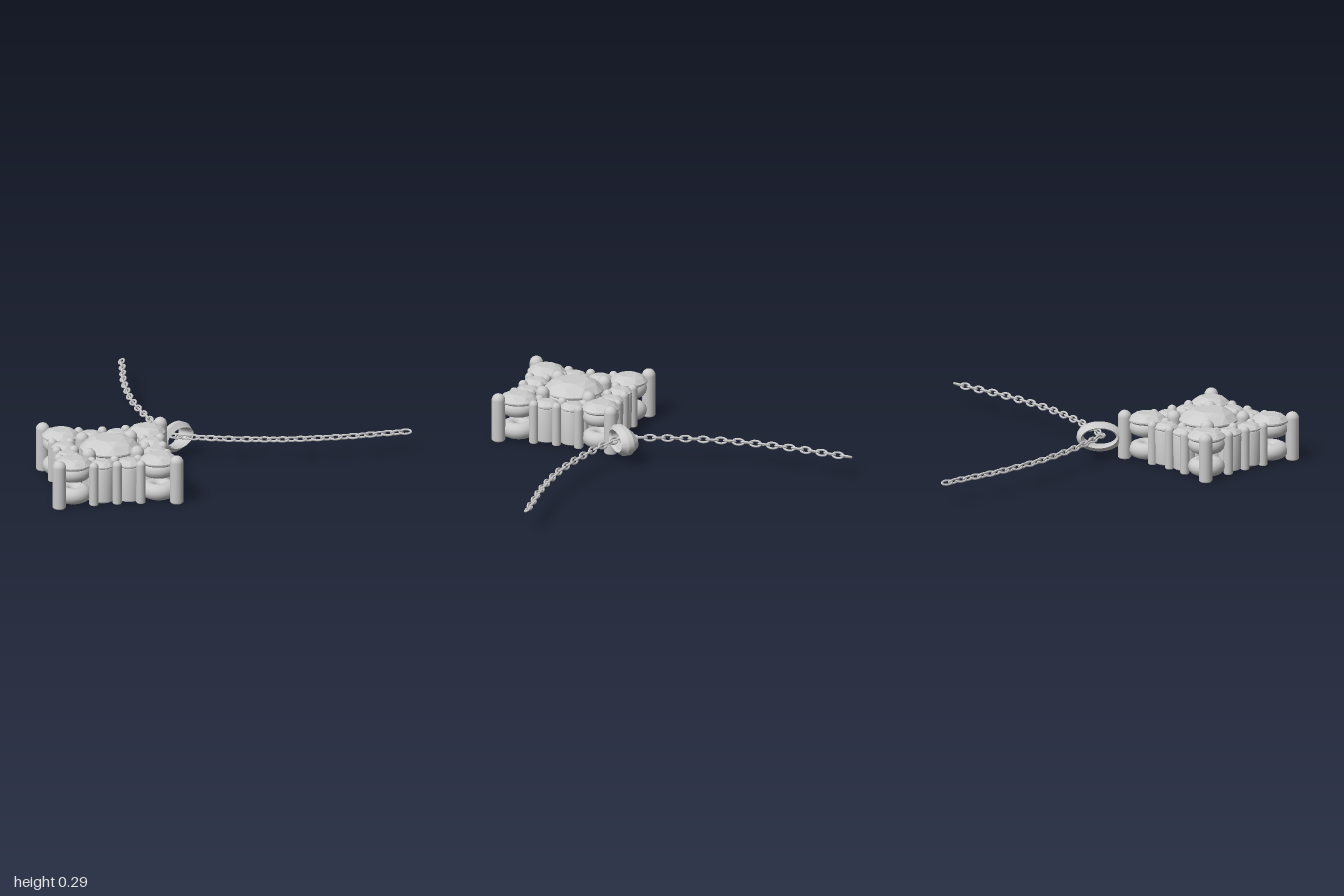
import * as THREE from 'three';
import { toCreasedNormals } from 'three/addons/utils/BufferGeometryUtils.js';
import { ConvexGeometry } from 'three/addons/geometries/ConvexGeometry.js';

const CZ = 0.467; // centre of the pendant along z

export function createModel() {
  const model = new THREE.Group();
  const smooth = new THREE.MeshStandardMaterial({ color: 0xcccccc });
  const faceted = new THREE.MeshStandardMaterial({ color: 0xcccccc, flatShading: true });

  const pendant = new THREE.Group();
  pendant.name = 'pendant';
  pendant.position.z = CZ;
  model.add(pendant);

  function add(parent, name, geometry, material, x, y, z) {
    const mesh = new THREE.Mesh(geometry, material);
    mesh.name = name;
    mesh.position.set(x, y, z);
    parent.add(mesh);
    return mesh;
  }

  // Round brilliant: table, crown, girdle and pavilion
  function gemGeometry(r, crown, depth) {
    const pts = [new THREE.Vector3(0, -depth, 0)];
    const ring = (n, radius, y, turn) => {
      for (let i = 0; i < n; i++) {
        const a = ((i + turn) / n) * Math.PI * 2;
        pts.push(new THREE.Vector3(Math.cos(a) * radius, y, Math.sin(a) * radius));
      }
    };
    ring(8, r * 0.5, crown, 0.5);
    ring(8, r * 0.8, crown * 0.68, 0);
    ring(24, r, 0.004, 0);
    ring(24, r, -0.004, 0);
    return new ConvexGeometry(pts);
  }

  // Upright post with a domed tip
  function prongGeometry(r, h) {
    const p = [[0, 0], [r * 0.8, 0], [r, r * 0.25]].map(([x, y]) => new THREE.Vector2(x, y));
    for (let i = 0; i <= 6; i++) {
      const a = (i / 6) * Math.PI / 2;
      p.push(new THREE.Vector2(Math.max(0, r * Math.cos(a)), h - r + r * Math.sin(a)));
    }
    return new THREE.LatheGeometry(p, 16);
  }

  // Two stacked rings carrying a gem
  function ringSetting(name, x, z, r, tube, gem, girdle) {
    const group = new THREE.Group();
    group.name = name;
    group.position.set(x, 0, z);
    const ring = new THREE.TorusGeometry(r - tube, tube, 14, 36).rotateX(Math.PI / 2);
    add(group, 'lowerRing', ring, smooth, 0, 0.055, 0);
    add(group, 'upperRing', ring, smooth, 0, 0.182, 0);
    add(group, 'gem', gem, faceted, 0, girdle, 0);
    pendant.add(group);
  }

  ringSetting('centreSetting', 0, 0, 0.155, 0.044, gemGeometry(0.165, 0.058, 0.1), 0.229);

  // Four corner settings, with a large prong on either side
  const cornerGem = gemGeometry(0.105, 0.038, 0.08);
  const largeProng = prongGeometry(0.038, 0.275);
  for (const [dx, dz] of [[1, 0], [-1, 0], [0, 1], [0, -1]]) {
    ringSetting('cornerSetting', dx * 0.338, dz * 0.338, 0.102, 0.045, cornerGem, 0.225);
    for (const d of [0.19, 0.463]) {
      add(pendant, 'largeProng', largeProng, smooth, dx * d, 0, dz * d);
    }
  }

  // Small gems in tubes along the four edges, with small prongs
  const tubeProfile = [[0.03, 0.008], [0.058, 0.008], [0.064, 0.014], [0.067, 0.195],
    [0.063, 0.205], [0.045, 0.205], [0.03, 0.17], [0.03, 0.008]];
  const tube = toCreasedNormals(new THREE.LatheGeometry(
    tubeProfile.map(([x, y]) => new THREE.Vector2(x, y)), 24), 0.7);
  const smallGem = gemGeometry(0.068, 0.026, 0.05);
  const smallProng = prongGeometry(0.026, 0.247);
  for (const sx of [1, -1]) {
    for (const sz of [1, -1]) {
      for (const [x, z] of [[0.12, 0.227], [0.225, 0.122]]) {
        add(pendant, 'smallSetting', tube, smooth, sx * x, 0, sz * z);
        add(pendant, 'smallGem', smallGem, faceted, sx * x, 0.214, sz * z);
      }
      for (const [x, z] of [[0.12, 0.305], [0.305, 0.12], [0.208, 0.208],
        [0.052, 0.235], [0.235, 0.052], [0.14, 0.14]]) {
        add(pendant, 'smallProng', smallProng, smooth, sx * x, 0, sz * z);
      }
    }
  }

  // Bail: oval loop with a ridged section, wider towards the back
  function bailGeometry() {
    const section = [[-1, -0.008], [-0.3, 0.017], [0.3, 0.017], [1, -0.008], [0.6, -0.017], [-0.6, -0.017]];
    const N = 48, M = section.length, pos = [], idx = [];
    for (let i = 0; i < N; i++) {
      const a = (i / N) * Math.PI * 2, c = Math.cos(a), s = Math.sin(a);
      const w = 0.041 - 0.011 * c;
      const n = new THREE.Vector2(c / 0.11, s / 0.066).normalize();
      section.forEach(([x, o], j) => {
        pos.push(x * w, 0.122 + 0.066 * s + n.y * o, -0.134 + 0.11 * c + n.x * o);
        const i2 = (i + 1) % N, j2 = (j + 1) % M;
        const p = i * M + j, q = i * M + j2, r = i2 * M + j2, t = i2 * M + j;
        idx.push(p, q, r, p, r, t);
      });
    }
    const g = new THREE.BufferGeometry();
    g.setAttribute('position', new THREE.Float32BufferAttribute(pos, 3));
    g.setIndex(idx);
    return toCreasedNormals(g, 0.4);
  }
  add(model, 'bail', bailGeometry(), smooth, 0, 0, 0);

  // Chain: oval links along a curve, rolled alternately, mirrored in x
  const oval = [];
  for (let i = 0; i < 12; i++) {
    const a = (i / 12) * Math.PI * 2;
    oval.push(new THREE.Vector3(0.033 * Math.cos(a), 0, 0.016 * Math.sin(a)));
  }
  const link = new THREE.TubeGeometry(new THREE.CatmullRomCurve3(oval, true), 24, 0.0062, 7, true);
  const path = new THREE.CatmullRomCurve3([[0.012, -0.125], [0.1, -0.167], [0.2, -0.22], [0.3, -0.28],
    [0.42, -0.362], [0.54, -0.455], [0.7, -0.61], [0.8, -0.72], [0.89, -0.835], [0.98, -0.945]]
    .map(([x, z]) => new THREE.Vector3(x, 0.13, z)));
  const LINKS = 27;
  for (const side of [1, -1]) {
    const chain = new THREE.Group();
    chain.name = side > 0 ? 'leftChain' : 'rightChain';
    for (let i = 0; i < LINKS; i++) {
      const p = path.getPointAt(i / (LINKS - 1)), t = path.getTangentAt(i / (LINKS - 1));
      const mesh = add(chain, 'chainLink', link, smooth, side * p.x, p.y, p.z);
      mesh.rotation.order = 'YXZ';
      mesh.rotation.y = Math.atan2(-t.z, side * t.x);
      mesh.rotation.x = side * (i % 2 ? -1.0 : 0.5);
    }
    model.add(chain);
  }
  return model;
}
